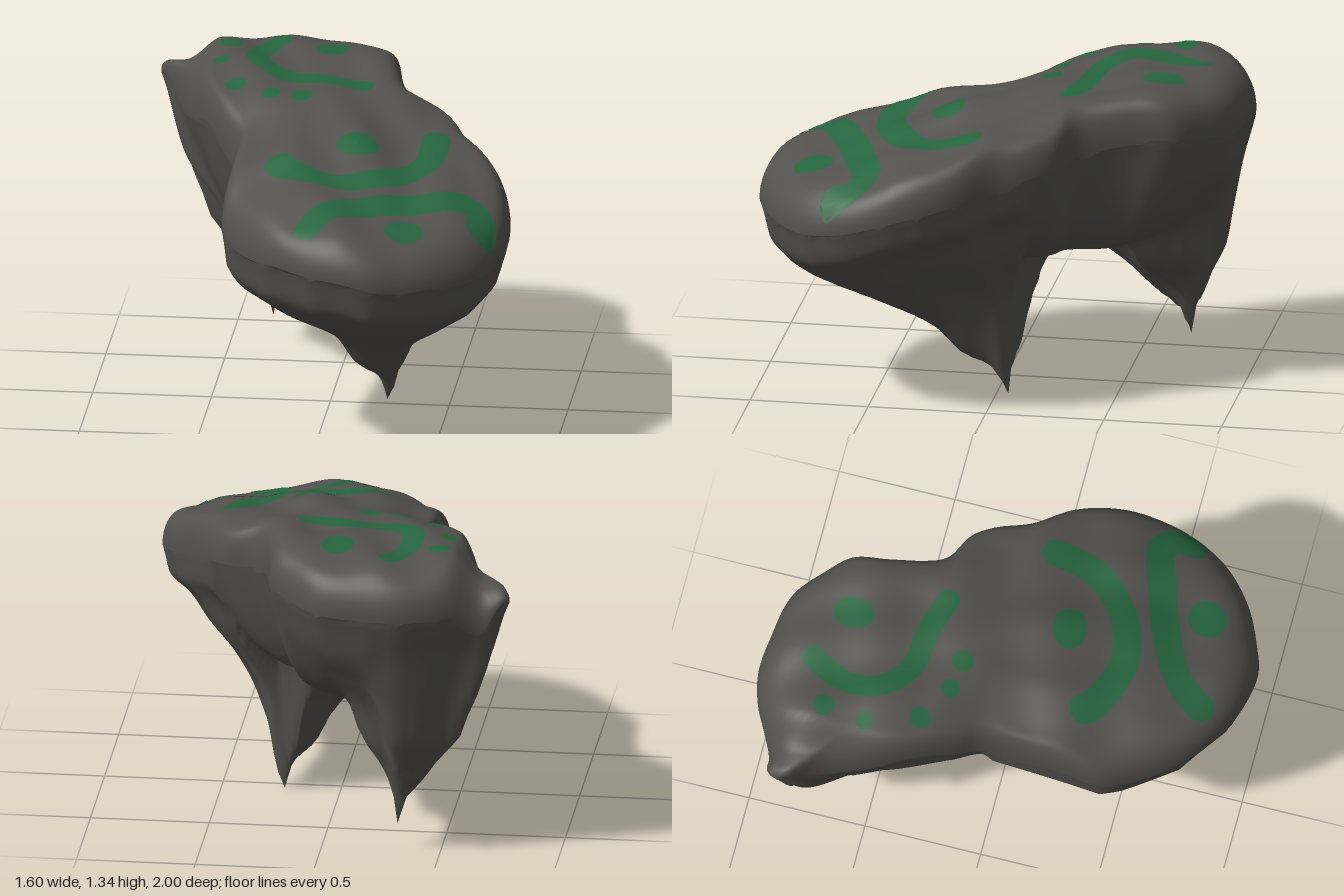
import * as THREE from 'three';

const { lerp, smoothstep } = THREE.MathUtils;
const rock = new THREE.MeshStandardMaterial({ color: 0x52514c });
rock.name = 'dark rock';
const moss = new THREE.MeshStandardMaterial({ color: 0x266540, side: THREE.DoubleSide });
moss.name = 'moss green';

// Plan outline as [x, z], clockwise from above, starting at the small horn
const plan = [
  [-0.8, -0.8], [-0.775, -0.85], [-0.67, -0.87], [-0.5, -0.96], [-0.35, -1], [-0.2, -0.99], [0, -0.95], [0.13, -0.84],
  [0.21, -0.75], [0.24, -0.6], [0.28, -0.45], [0.33, -0.36], [0.46, -0.29], [0.53, -0.2], [0.6, -0.05], [0.72, 0.1],
  [0.78, 0.25], [0.8, 0.4], [0.78, 0.58], [0.7, 0.75], [0.56, 0.88], [0.4, 0.96], [0.26, 1], [0.02, 0.95],
  [-0.2, 0.8], [-0.36, 0.58], [-0.4, 0.5], [-0.4, 0.25], [-0.4, 0], [-0.48, -0.14], [-0.61, -0.4], [-0.7, -0.65],
];
const SEGMENTS = 176, RINGS = 56;
const centre = [-0.08, -0.18];
const curveThrough = (points, closed) =>
  new THREE.CatmullRomCurve3(points.map(([x, z]) => new THREE.Vector3(x, 0, z)), closed, 'centripetal');
const rim = curveThrough(plan, true).getSpacedPoints(SEGMENTS).slice(0, SEGMENTS).map(p => [p.x, p.z]);

// Two hanging spikes: tip, plan area, and tip-to-rim profiles for the gentle side and the steep side
const lobes = [
  {
    tip: [0.235, 0, -0.05], area: [...plan.slice(13, 29), [0, -0.28], [0.2, -0.15]], steepSide: [0.95, -0.3],
    gentle: [[0, 0], [0.05, 0.1], [0.2, 0.19], [0.31, 0.31], [0.53, 0.46], [0.8, 0.64], [0.92, 0.75], [0.97, 0.83], [1, 1]],
    steep: [[0, 0], [0.07, 0.08], [0.12, 0.22], [0.2, 0.4], [0.64, 0.68], [0.77, 0.79], [0.95, 0.88], [1, 1]],
  },
  {
    tip: [-0.32, 0.12, -0.73], area: [...plan.slice(28), ...plan.slice(0, 12), [0.35, 0]], steepSide: [1, 0],
    gentle: [[0, 0], [0.08, 0.11], [0.2, 0.18], [0.35, 0.28], [0.56, 0.41], [0.63, 0.52], [0.7, 0.62], [0.83, 0.8], [0.95, 0.93], [1, 1]],
    steep: [[0, 0], [0.04, 0.14], [0.13, 0.25], [0.27, 0.36], [0.36, 0.5], [0.6, 0.66], [0.85, 0.81], [1, 1]],
  },
];

// Smooth interpolation of a table that never overshoots its values
function interpolate(table, v) {
  const slope = i => {
    const [a, b] = [table[i], table[i + 1]];
    return a && b ? (b[1] - a[1]) / (b[0] - a[0]) : 0;
  };
  const tangent = i => {
    if (i === 0) return slope(0);
    if (i === table.length - 1) return slope(i - 1);
    const m = slope(i - 1), n = slope(i);
    return m * n > 0 ? 2 * m * n / (m + n) : 0;
  };
  const last = table.length - 1;
  const x = THREE.MathUtils.clamp(v, table[0][0], table[last][0]);
  let i = 0;
  while (i < last - 1 && x > table[i + 1][0]) i++;
  const w = table[i + 1][0] - table[i][0], u = (x - table[i][0]) / w;
  const ease = u * u * (3 - 2 * u);
  return lerp(table[i][1], table[i + 1][1], ease)
    + w * u * (1 - u) * ((1 - u) * tangent(i) - u * tangent(i + 1));
}

// How far (x, z) lies from an inner point towards the edge of a polygon: 0 to 1
function fraction(ox, oz, x, z, polygon) {
  const dx = x - ox, dz = z - oz;
  if (Math.hypot(dx, dz) < 1e-6) return 0;
  let nearest = Infinity;
  polygon.forEach(([ax, az], i) => {
    const [bx, bz] = polygon[(i + 1) % polygon.length];
    const ex = bx - ax, ez = bz - az, det = dx * ez - dz * ex;
    if (Math.abs(det) < 1e-9) return;
    const k = ((ax - ox) * ez - (az - oz) * ex) / det;
    const m = ((ax - ox) * dz - (az - oz) * dx) / det;
    if (k > 0 && m >= -1e-6 && m <= 1 + 1e-6) nearest = Math.min(nearest, k);
  });
  return Math.min(1, 1 / nearest);
}

// Overall slope of the top, dipping towards the horn and both flanks of the front half
const spine = [[-1, 1.28], [-0.7, 1.325], [-0.4, 1.31], [-0.1, 1.27], [0.3, 1.19], [0.5, 1.13], [0.7, 1.08], [1, 1.03]];
const plateau = (x, z) => interpolate(spine, z)
  - 0.09 * smoothstep(-x, 0.54, 0.69)
  - 0.05 * smoothstep(x, 0.1, 0.42) * smoothstep(z, -0.55, -0.33)
  - 0.04 * smoothstep(x, 0.45, 0.8)
  - 0.06 * smoothstep(-x, 0.1, 0.38) * smoothstep(z, -0.25, 0);
// Depth of the rounded shoulder, shallow on the horn
const shoulder = x => 0.17 - 0.11 * smoothstep(-x, 0.68, 0.78);
const rimHeight = (x, z) => plateau(x, z) - shoulder(x);

// Lumpy top ending in the shoulder
function topHeight(x, z, t = fraction(...centre, x, z, rim)) {
  const e = Math.min(1, t ** 8);
  const lumps = 0.013 * Math.sin(9 * x + 3 * z) * Math.sin(13 * z - 3 * x) + 0.007 * Math.sin(21 * x - 8 * z);
  return plateau(x, z) + lumps * (1 - e) - shoulder(x) * (1 - Math.sqrt(1 - e * e));
}

// Underside: both spikes and the bridge between them, blended where they meet
function bottomHeight(x, z, t) {
  const edge = rimHeight(x, z), blend = 0.06;
  let y = lerp(0.58, edge, t ** 4);
  for (const { tip, area, steepSide, gentle, steep } of lobes) {
    const s = fraction(tip[0], tip[2], x, z, area);
    if (s >= 1) continue;
    const dx = x - tip[0], dz = z - tip[2];
    const facing = (dx * steepSide[0] + dz * steepSide[1]) / (Math.hypot(dx, dz) + 1e-6);
    const rise = lerp(interpolate(gentle, s), interpolate(steep, s), smoothstep(facing, 0, 0.7));
    const spike = lerp(tip[1], edge, rise);
    const near = Math.max(0, blend - Math.abs(spike - y)) / blend;
    y = Math.min(spike, y) - near * near * blend / 4;
  }
  return y;
}

function makeIsland() {
  const positions = [], indices = [];
  const ringAt = (r, height) => {
    const t = 1 - (1 - r / RINGS) ** 1.7;
    for (const [px, pz] of rim) {
      const x = lerp(centre[0], px, t), z = lerp(centre[1], pz, t);
      positions.push(x, height(x, z, t), z);
    }
  };
  // Rings run out over the top, round the rim and back in underneath
  for (let r = 0; r <= RINGS; r++) ringAt(r, topHeight);
  for (let r = RINGS - 1; r >= 0; r--) ringAt(r, bottomHeight);
  for (let r = 0; r < 2 * RINGS; r++) {
    for (let i = 0; i < SEGMENTS; i++) {
      const j = (i + 1) % SEGMENTS, a = r * SEGMENTS, b = a + SEGMENTS;
      indices.push(a + i, b + j, b + i, a + i, a + j, b + j);
    }
  }
  // Sharpen each spike by pulling the closest underside vertex to its tip
  for (const { tip } of lobes) {
    let best = 0, distance = Infinity;
    for (let v = (RINGS + 1) * SEGMENTS; v < positions.length / 3; v++) {
      const d = Math.hypot(positions[3 * v] - tip[0], positions[3 * v + 2] - tip[2]);
      if (d < distance) { distance = d; best = v; }
    }
    tip.forEach((value, k) => { positions[3 * best + k] = value; });
  }
  const geometry = new THREE.BufferGeometry();
  geometry.setAttribute('position', new THREE.Float32BufferAttribute(positions, 3));
  geometry.setIndex(indices);
  geometry.computeVertexNormals();
  return geometry;
}

// Lays a flat geometry, given as x and z, just above the top
function drape(geometry) {
  const p = geometry.attributes.position;
  for (let i = 0; i < p.count; i++) p.setY(i, topHeight(p.getX(i), p.getZ(i)) + 0.004);
  geometry.computeVertexNormals();
  return geometry;
}

function mossPatch(x, z, rx, rz = rx) {
  return drape(new THREE.RingGeometry(0.001, 1, 28, 4).rotateX(-Math.PI / 2).scale(rx, 1, rz).translate(x, 0, z));
}

// Ribbon with round ends
function mossBand(points, half) {
  const curve = curveThrough(points, false), length = curve.getLength(), steps = 90, across = 6;
  const geometry = new THREE.PlaneGeometry(1, 1, across, steps);
  const p = geometry.attributes.position;
  for (let i = 0; i <= steps; i++) {
    const u = i / steps, c = curve.getPointAt(u), d = curve.getTangentAt(u);
    const fromEnd = Math.min(u, 1 - u) * length;
    const width = half * Math.sqrt(1 - Math.max(0, 1 - fromEnd / half) ** 2);
    for (let k = 0; k <= across; k++) {
      const w = width * (1 - 2 * k / across);
      p.setXYZ(i * (across + 1) + k, c.x + d.z * w, 0, c.z - d.x * w);
    }
  }
  return drape(geometry);
}

export function createModel() {
  const model = new THREE.Group();
  model.name = 'floatingRock';
  const add = (name, geometry, material) => {
    const mesh = new THREE.Mesh(geometry, material);
    mesh.name = name;
    model.add(mesh);
  };
  add('rockBody', makeIsland(), rock);

  // Curved moss bands
  add('backMossBand', mossBand([[-0.27, -0.82], [-0.36, -0.62], [-0.35, -0.48], [-0.23, -0.37], [-0.05, -0.34], [0.15, -0.28]], 0.048), moss);
  add('middleMossBand', mossBand([[-0.21, 0.31], [-0.15, 0.39], [-0.03, 0.45], [0.12, 0.47], [0.3, 0.4], [0.43, 0.25], [0.46, 0.02]], 0.06), moss);
  add('frontMossBand', mossBand([[-0.03, 0.87], [0.06, 0.72], [0.25, 0.61], [0.48, 0.53], [0.62, 0.49], [0.69, 0.53], [0.7, 0.67]], 0.06), moss);

  // Round moss patches: x, z, half width, half depth
  const patches = [
    [-0.06, -0.66, 0.068, 0.088], [-0.49, -0.68, 0.047], [-0.51, -0.5, 0.038], [-0.43, -0.28, 0.044],
    [-0.27, -0.19, 0.04], [-0.14, -0.17, 0.046], [0.14, 0.22, 0.09, 0.072], [0.39, 0.75, 0.083],
  ];
  patches.forEach((patch, i) => add(`mossPatch${i + 1}`, mossPatch(...patch), moss));
  return model;
}
